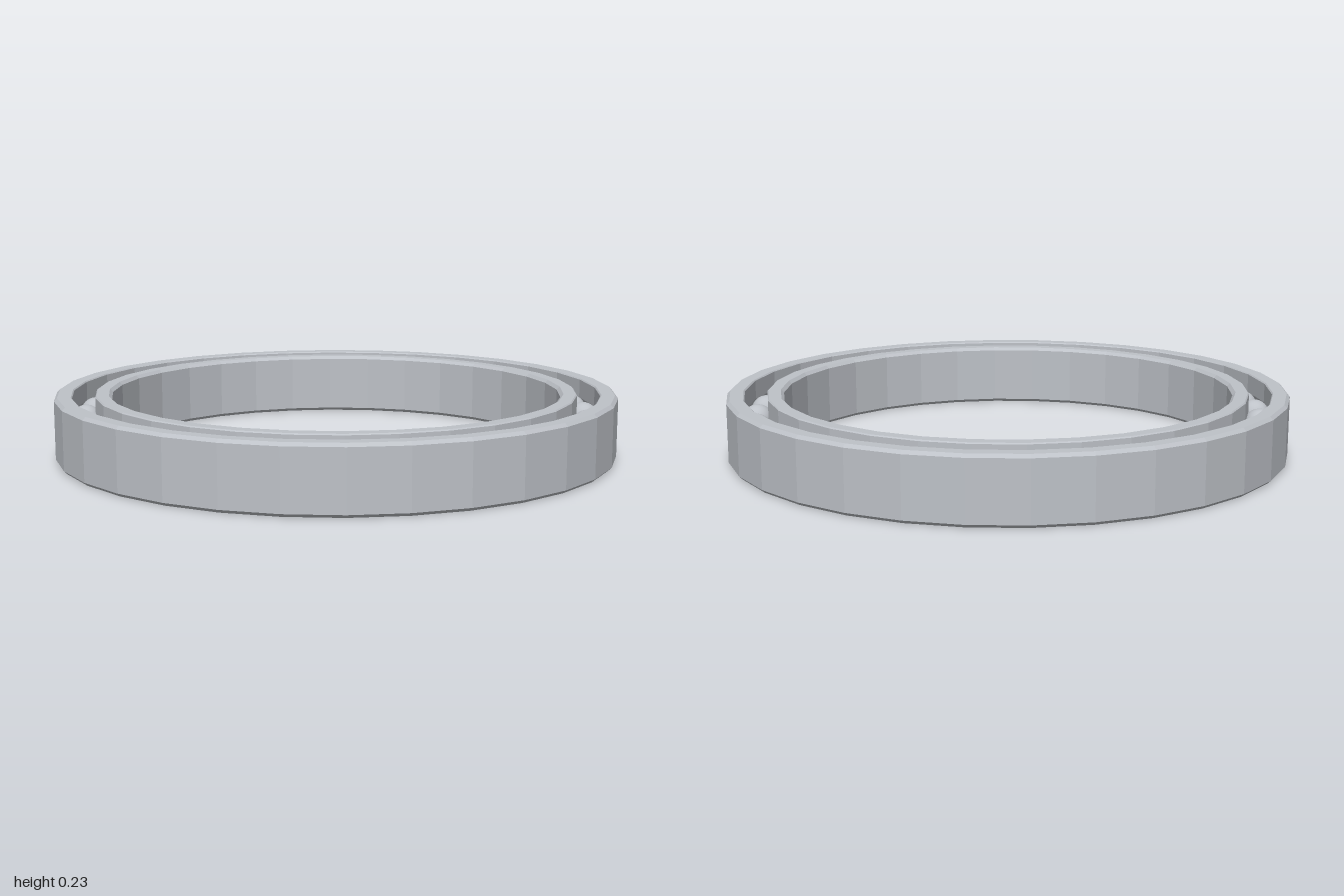
import * as THREE from 'three';

const HEIGHT = 0.227, MID = HEIGHT / 2;
const SEGMENTS = 32, BALLS = 36;
const PITCH = 0.898, BALL_R = 0.056, GROOVE_R = 0.058;
const BEVEL = 0.011;

// Race profile: bevelled bar from the plain wall to the grooved wall
function raceProfile(plainR, grooveWallR) {
  const s = Math.sign(plainR - grooveWallR); // +1 = outer race
  const b = BEVEL * s, g = 0.004 * s;
  const points = [
    [plainR - b, 0], [plainR, BEVEL], [plainR, HEIGHT - BEVEL], [plainR - b, HEIGHT],
    [grooveWallR + g, HEIGHT], [grooveWallR, HEIGHT - 0.004],
  ];
  // Ball groove, swept from top to bottom
  const half = Math.acos(Math.abs(grooveWallR - PITCH) / GROOVE_R);
  for (let i = 0; i <= 6; i++) {
    const a = half * (1 - i / 3);
    points.push([PITCH + s * GROOVE_R * Math.cos(a), MID + GROOVE_R * Math.sin(a)]);
  }
  points.push([grooveWallR, 0.004], [grooveWallR + g, 0], [plainR - b, 0]);
  const profile = points.map(([r, y]) => new THREE.Vector2(r, y));
  return s > 0 ? profile : profile.reverse();
}

// Faceted ring turned from a race profile
function race(name, plainR, grooveWallR, material) {
  const geometry = new THREE.LatheGeometry(raceProfile(plainR, grooveWallR), SEGMENTS).toNonIndexed();
  geometry.computeVertexNormals();
  const mesh = new THREE.Mesh(geometry, material);
  mesh.name = name;
  return mesh;
}

export function createModel() {
  const model = new THREE.Group();
  model.name = 'ballBearing';
  const steel = new THREE.MeshStandardMaterial({ color: 0xbec2c8 });
  steel.name = 'steel';

  model.add(race('outerRace', 1, 0.938, steel));
  model.add(race('innerRace', 0.8, 0.858, steel));

  // Balls spaced evenly between the races
  const balls = new THREE.Group();
  balls.name = 'balls';
  const ballGeometry = new THREE.SphereGeometry(BALL_R, 24, 16);
  for (let i = 0; i < BALLS; i++) {
    const a = (i / BALLS) * Math.PI * 2;
    const ball = new THREE.Mesh(ballGeometry, steel);
    ball.name = 'ball';
    ball.position.set(PITCH * Math.sin(a), MID, PITCH * Math.cos(a));
    balls.add(ball);
  }
  model.add(balls);
  return model;
}
